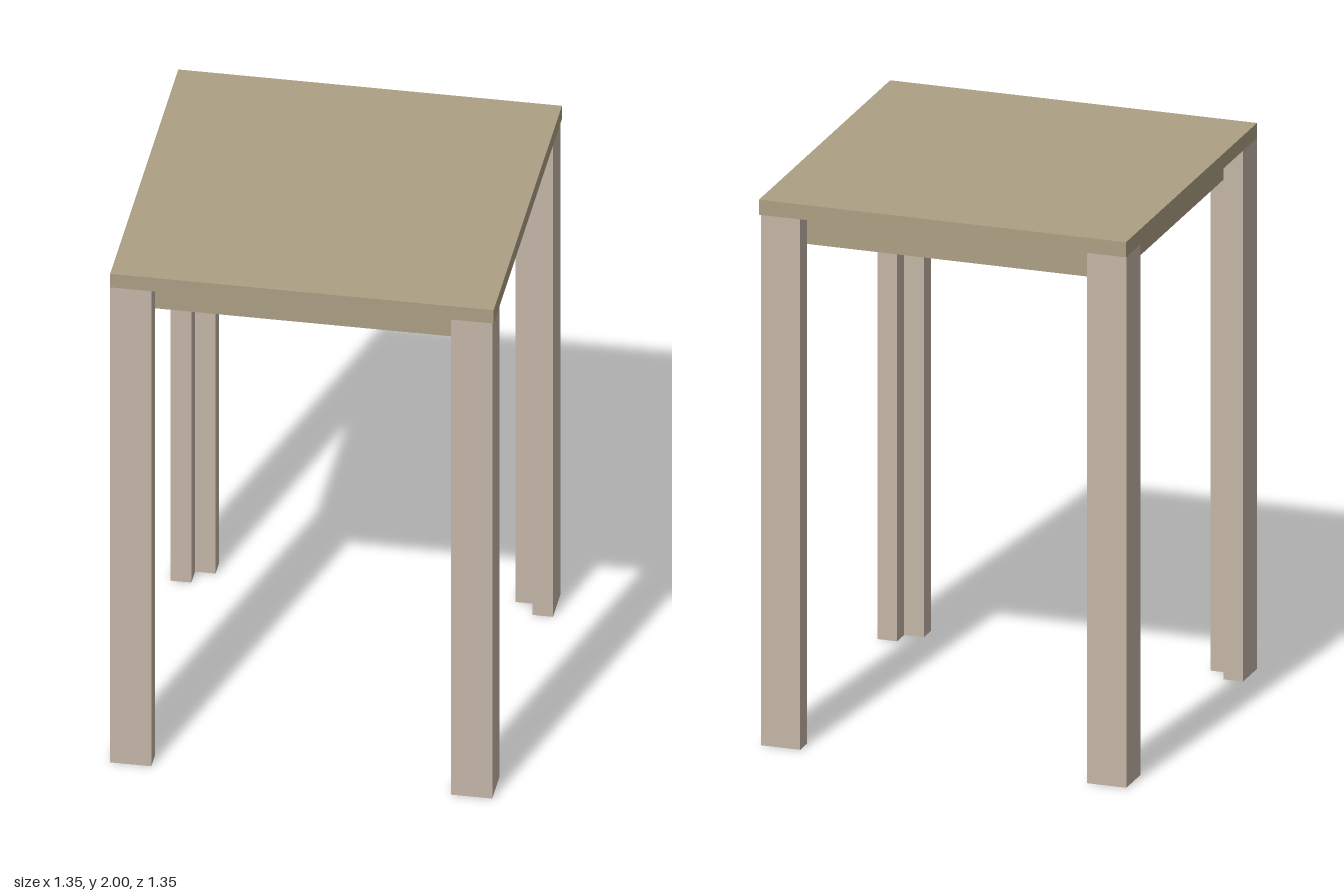
import * as THREE from 'three';

const TOP = 2, UNDER = 1.945, APRON = 1.83; // heights
const HALF = 0.675;                         // half width of the top
const LEG = 0.145, WALL = 0.0725;           // leg width, thickness of its L section
const OUT = 0.6725;                         // outer corner of the legs

const topMaterial = new THREE.MeshStandardMaterial({ color: 0xac9f83, flatShading: true });
const legMaterial = new THREE.MeshStandardMaterial({ color: 0xc4b6a7, flatShading: true });

// Closed outline from x, y pairs
const outline = pairs => new THREE.Shape(pairs.map(([x, y]) => new THREE.Vector2(x, y)));
const square = h => [[-h, -h], [h, -h], [h, h], [-h, h]];

// Plan shape raised from y0 to y1
function raise(shape, y0, y1) {
  const geometry = new THREE.ExtrudeGeometry(shape, { depth: y1 - y0, bevelEnabled: false });
  return geometry.rotateX(-Math.PI / 2).translate(0, y0, 0);
}

export function createModel() {
  const group = new THREE.Group();
  const add = (name, geometry, material) => {
    const mesh = new THREE.Mesh(geometry, material);
    mesh.name = name;
    group.add(mesh);
    return mesh;
  };

  // Square table top
  const top = add('tableTop', new THREE.BoxGeometry(2 * HALF, TOP - UNDER, 2 * HALF), topMaterial);
  top.position.y = (TOP + UNDER) / 2;

  // Apron frame, its corners resting in the hollows of the legs
  const frame = outline(square(OUT - WALL));
  frame.holes.push(new THREE.Path(outline(square(0.455)).getPoints().reverse()));
  const apron = add('apronFrame', raise(frame, APRON, UNDER), topMaterial);
  apron.position.set(-0.0025, 0, 0.0025);

  // Four L-section legs, hollow towards the middle
  const i = OUT - LEG, m = OUT - WALL;
  const section = outline([[OUT, OUT], [i, OUT], [i, m], [m, m], [m, i], [OUT, i]]);
  const legGeometry = raise(section, 0, UNDER);
  ['backLeftLeg', 'backRightLeg', 'frontRightLeg', 'frontLeftLeg'].forEach((name, k) => {
    const leg = add(name, legGeometry, legMaterial);
    leg.rotation.y = k * Math.PI / 2;
    leg.position.set(-0.0025, 0, 0.0025);
  });

  return group;
}
